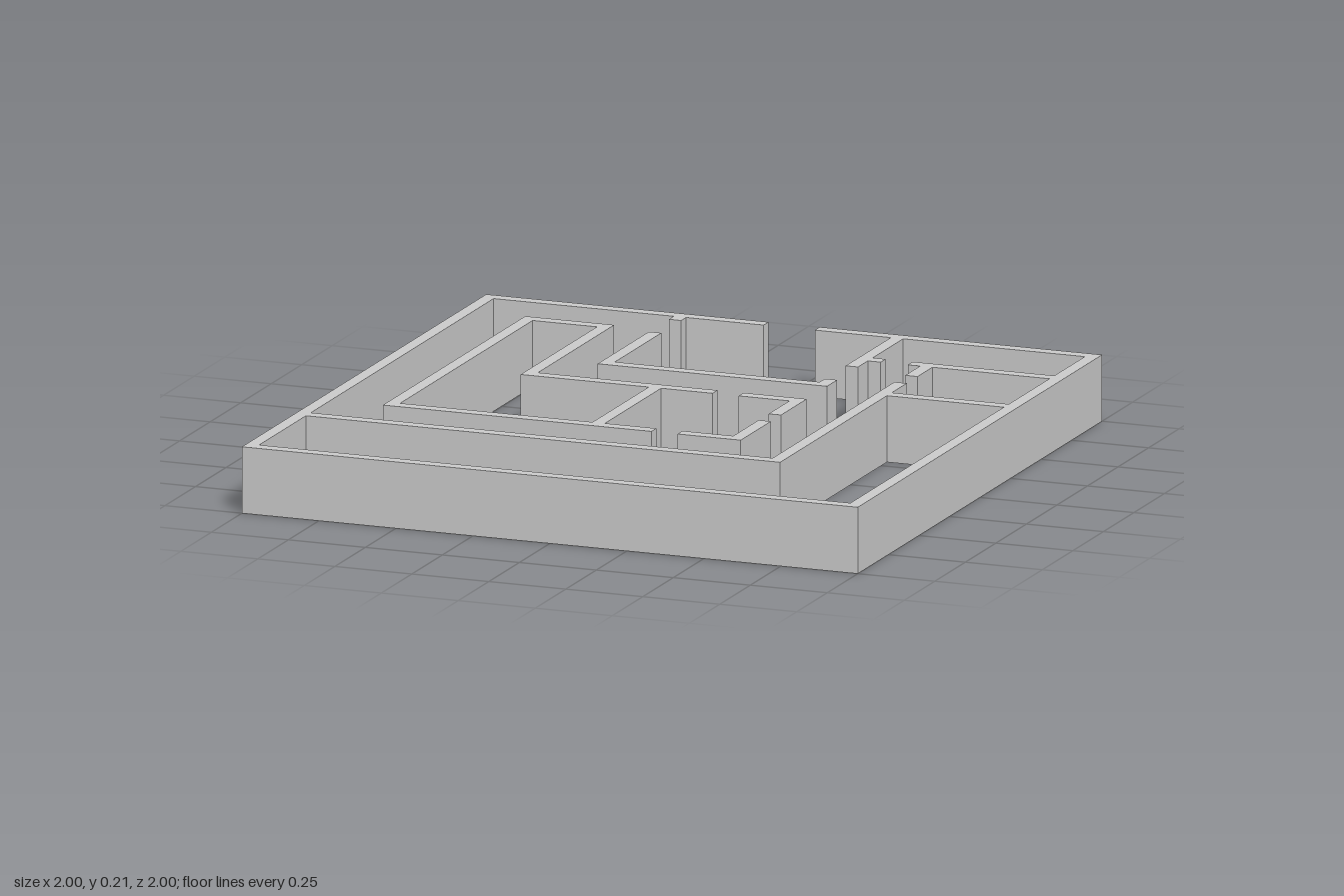
import * as THREE from 'three';

const HEIGHT = 0.207;
const HALF = 0.02; // half the wall thickness

// Extrudes a wall along a right-angled centre line of [x, z] points, with mitred corners.
function wallGeometry(points) {
  const pts = points.map(([x, z]) => new THREE.Vector2(x, z));
  const dirs = pts.slice(1).map((p, i) => p.clone().sub(pts[i]).normalize());
  const left = [], right = [];
  pts.forEach((p, i) => {
    const a = dirs[Math.max(i - 1, 0)], b = dirs[Math.min(i, dirs.length - 1)];
    const na = new THREE.Vector2(-a.y, a.x), nb = new THREE.Vector2(-b.y, b.x);
    const miter = na.clone().add(nb);
    miter.multiplyScalar(HALF / (1 + na.dot(nb)));
    left.push(p.clone().add(miter));
    right.unshift(p.clone().sub(miter));
  });
  const geometry = new THREE.ExtrudeGeometry(new THREE.Shape([...left, ...right]), {
    depth: HEIGHT, bevelEnabled: false,
  });
  return geometry.rotateX(Math.PI / 2).translate(0, HEIGHT, 0);
}

export function createModel() {
  const group = new THREE.Group();
  group.name = 'floorPlanWalls';
  const material = new THREE.MeshStandardMaterial({ color: 0xcccccc, flatShading: true });

  const walls = {
    // Perimeter with the doorway at the back
    outerWall: [[0.083, -0.98], [0.98, -0.98], [0.98, 0.98], [-0.98, 0.98], [-0.98, -0.98], [-0.083, -0.98]],

    // Entrance hall
    hallDoorStub: [[-0.355, -0.96], [-0.355, -0.92]],
    hallWall: [[-0.355, -0.757], [-0.355, -0.357], [0.35, -0.357], [0.35, -0.42]],
    hallSideWall: [[0.35, -0.96], [0.35, -0.59]],
    hallSideStub: [[0.37, -0.69], [0.412, -0.69]],

    // Rooms on the left side
    cornerRoomWall: [[0.5, -0.69], [0.96, -0.69]],
    sideDoorStub: [[0.56, -0.67], [0.56, -0.548]],
    sideRoomWall: [[0.58, -0.317], [0.96, -0.317]],
    frontCorridorWall: [[0.56, -0.46], [0.56, 0.557], [-0.96, 0.557]],

    // Central rooms
    innerRoomWall: [[0.08, -0.15], [-0.523, -0.15], [-0.523, -0.775], [-0.772, -0.775], [-0.772, 0.35], [0.08, 0.35]],
    innerDivider: [[-0.107, -0.13], [-0.107, 0.33]],
    innerBackCorner: [[0.165, -0.15], [0.35, -0.15], [0.35, 0.04]],
    innerFrontCorner: [[0.35, 0.123], [0.35, 0.35], [0.165, 0.35]],
  };

  for (const [name, points] of Object.entries(walls)) {
    const mesh = new THREE.Mesh(wallGeometry(points), material);
    mesh.name = name;
    group.add(mesh);
  }
  return group;
}
